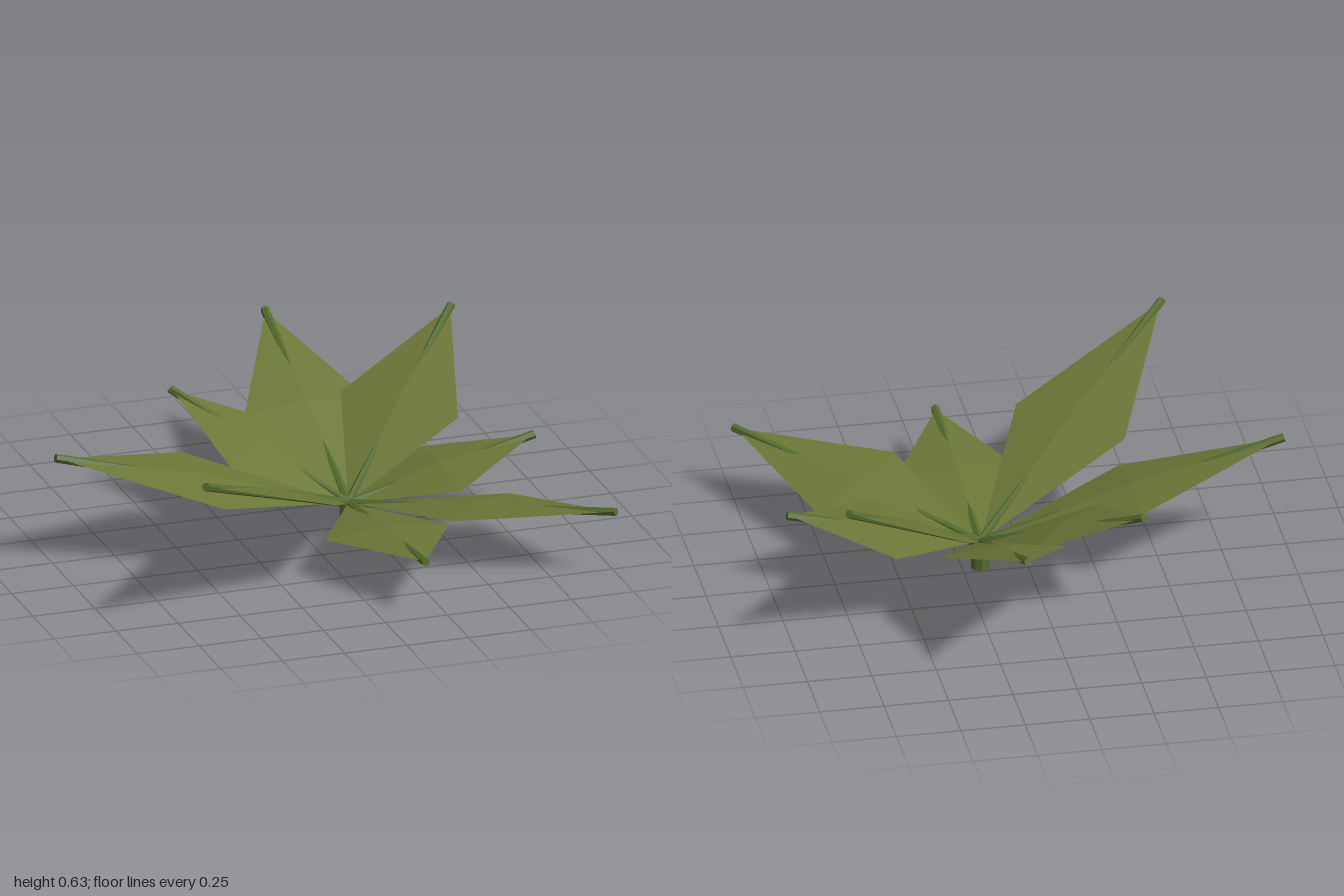
import * as THREE from 'three';

const HUB = new THREE.Vector3(0.18, 0.11, 0.035);

// Tip of every leaf, and how far its blade rolls about the midrib
const LEAVES = [
  { name: 'backLeaf', tip: [0.18, 0.535, -0.94], roll: 0 },
  { name: 'backLeftLeaf', tip: [0.8, 0.61, -0.575], roll: -0.01 },
  { name: 'leftLeaf', tip: [0.92, 0.295, 0.035], roll: 0 },
  { name: 'frontLeftLeaf', tip: [0.98, 0.265, 0.825], roll: 0.03 },
  { name: 'frontLeaf', tip: [0.18, 0.205, 0.94], roll: 0 },
  { name: 'frontRightLeaf', tip: [-0.685, 0.605, 0.9], roll: 0 },
  { name: 'rightLeaf', tip: [-0.99, 0.44, 0.035], roll: 0.025 },
  { name: 'backRightLeaf', tip: [-0.345, 0.44, -0.5], roll: 0 },
];

const leafMaterial = new THREE.MeshStandardMaterial({
  color: 0x6b7637, flatShading: true, side: THREE.DoubleSide,
});
const stemMaterial = new THREE.MeshStandardMaterial({ color: 0x556b2f, flatShading: true });

// Kite-shaped blade whose middle is lifted off the straight midrib
function bladeGeometry(tip, roll) {
  const along = tip.clone().sub(HUB);
  const across = new THREE.Vector3(-along.z, 0, along.x).setLength(0.25);
  const middle = HUB.clone().lerp(tip, 0.5);
  const sideA = middle.clone().add(across);
  const sideB = middle.clone().sub(across);
  sideA.y += roll;
  sideB.y -= roll;
  middle.y += 0.03;
  const geometry = new THREE.BufferGeometry().setFromPoints([HUB, sideA, tip, sideB, middle]);
  geometry.setIndex([0, 1, 4, 1, 2, 4, 2, 3, 4, 3, 0, 4].reverse());
  const flat = geometry.toNonIndexed();
  flat.computeVertexNormals();
  return flat;
}

// Thin straight rod between two points
function rod(from, to, radius, sides, name) {
  const along = to.clone().sub(from);
  const mesh = new THREE.Mesh(
    new THREE.CylinderGeometry(radius, radius, along.length(), sides), stemMaterial);
  mesh.position.copy(from).lerp(to, 0.5);
  mesh.quaternion.setFromUnitVectors(new THREE.Vector3(0, 1, 0), along.normalize());
  mesh.name = name;
  return mesh;
}

export function createModel() {
  const model = new THREE.Group();
  model.name = 'leafRosette';

  // Short stem under the leaves
  model.add(rod(new THREE.Vector3(HUB.x, 0, HUB.z), HUB, 0.036, 8, 'stem'));

  // Leaves, each a folded blade on a midrib
  for (const { name, tip, roll } of LEAVES) {
    const end = new THREE.Vector3(...tip);
    const leaf = new THREE.Group();
    leaf.name = name;
    const blade = new THREE.Mesh(bladeGeometry(end, roll), leafMaterial);
    blade.name = 'blade';
    const ribEnd = end.clone().add(end.clone().sub(HUB).setLength(0.01));
    leaf.add(blade, rod(HUB, ribEnd, 0.017, 6, 'midrib'));
    model.add(leaf);
  }
  return model;
}
